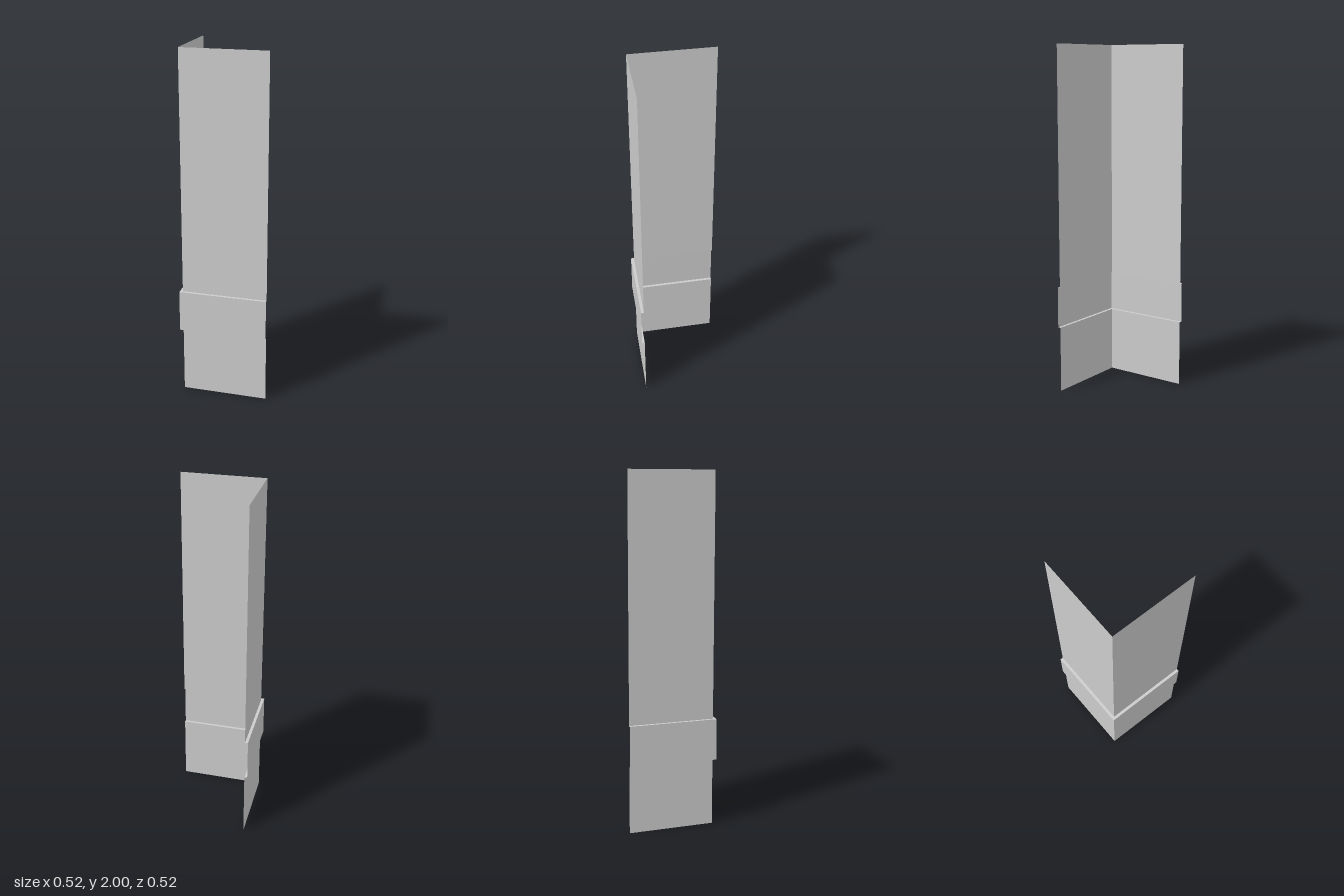
import * as THREE from 'three';

// Plan lines [x, z]: rear end, corner, side end
const INNER = [[-0.243, -0.26], [-0.234, 0.233], [0.257, 0.241]];
const OUTER = [[-0.26, -0.26], [-0.25, 0.25], [0.257, 0.257]];

// Open sheet joining a lower plan line to an upper one, with a sharp corner
function sheet(name, lower, y0, upper, y1, material) {
  const positions = [];
  for (let i = 0; i < lower.length - 1; i++) {
    const at = ([x, z], y) => [x, y, z];
    const a = at(lower[i], y0), b = at(lower[i + 1], y0);
    const c = at(upper[i + 1], y1), d = at(upper[i], y1);
    positions.push(...a, ...b, ...c, ...a, ...c, ...d);
  }
  const geometry = new THREE.BufferGeometry();
  geometry.setAttribute('position', new THREE.Float32BufferAttribute(positions, 3));
  geometry.computeVertexNormals();
  const mesh = new THREE.Mesh(geometry, material);
  mesh.name = name;
  return mesh;
}

export function createModel() {
  const model = new THREE.Group();
  model.name = 'cornerPanel';
  const material = new THREE.MeshStandardMaterial({
    color: 0xcccccc, side: THREE.DoubleSide, flatShading: true,
  });
  const bandBottom = 0.384, bandTop = 0.621, height = 2;

  // Walls set back above and below a raised band, joined by flat ledges
  model.add(
    sheet('lowerWall', INNER, 0, INNER, bandBottom, material),
    sheet('lowerLedge', INNER, bandBottom, OUTER, bandBottom, material),
    sheet('raisedBand', OUTER, bandBottom, OUTER, bandTop, material),
    sheet('upperLedge', OUTER, bandTop, INNER, bandTop, material),
    sheet('upperWall', INNER, bandTop, INNER, height, material),
  );
  return model;
}
